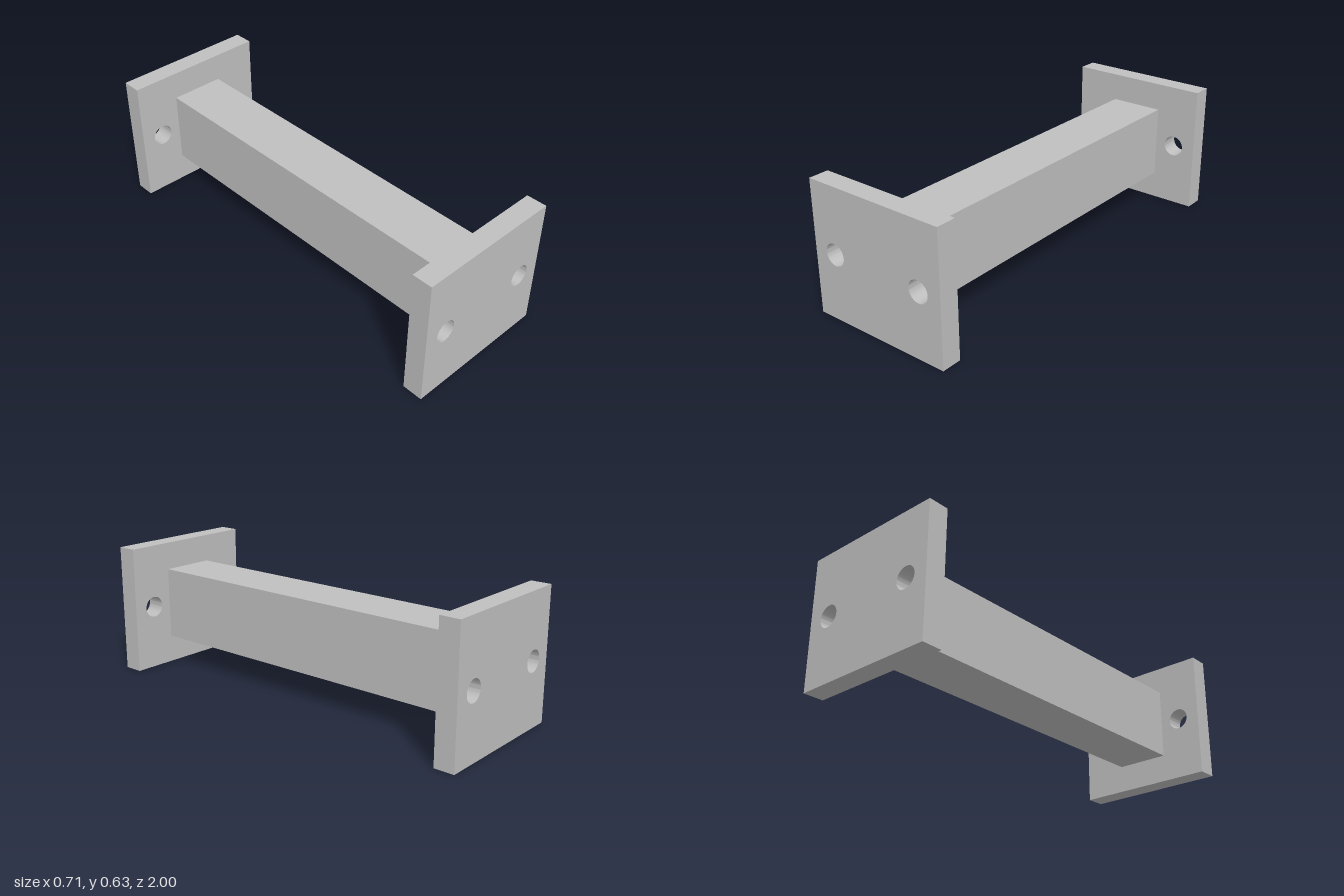
import * as THREE from 'three';
import { toCreasedNormals } from 'three/addons/utils/BufferGeometryUtils.js';

const WIDTH = 0.712, HEIGHT = 0.634, THICK = 0.097, LENGTH = 2;
const HOLE_X = 0.238, HOLE_R = 0.052;

// Flat end plate with two bolt holes, centred on its own origin
function plateGeometry() {
  const w = WIDTH / 2, h = HEIGHT / 2;
  const shape = new THREE.Shape();
  shape.moveTo(-w, -h).lineTo(w, -h).lineTo(w, h).lineTo(-w, h).closePath();
  for (const side of [-1, 1]) {
    const hole = new THREE.Path();
    hole.absarc(side * HOLE_X, 0, HOLE_R, 0, Math.PI * 2, true);
    shape.holes.push(hole);
  }
  const geometry = new THREE.ExtrudeGeometry(shape, { depth: THICK, bevelEnabled: false, curveSegments: 24 });
  geometry.translate(0, 0, -THICK / 2);
  return toCreasedNormals(geometry, Math.PI / 6);
}

export function createModel() {
  const model = new THREE.Group();
  model.name = 'flangedBeam';
  const steel = new THREE.MeshStandardMaterial({ color: 0xbfbfbf });
  steel.name = 'greySteel';

  // Mounting plates at both ends
  const geometry = plateGeometry();
  for (const [name, side] of [['frontPlate', 1], ['backPlate', -1]]) {
    const plate = new THREE.Mesh(geometry, steel);
    plate.name = name;
    plate.position.set(0, HEIGHT / 2, side * (LENGTH - THICK) / 2);
    model.add(plate);
  }

  // Rectangular beam joining the plates
  const beam = new THREE.Mesh(new THREE.BoxGeometry(0.27, 0.358, LENGTH - 2 * THICK), steel);
  beam.name = 'beam';
  beam.position.y = HEIGHT / 2;
  model.add(beam);

  return model;
}
